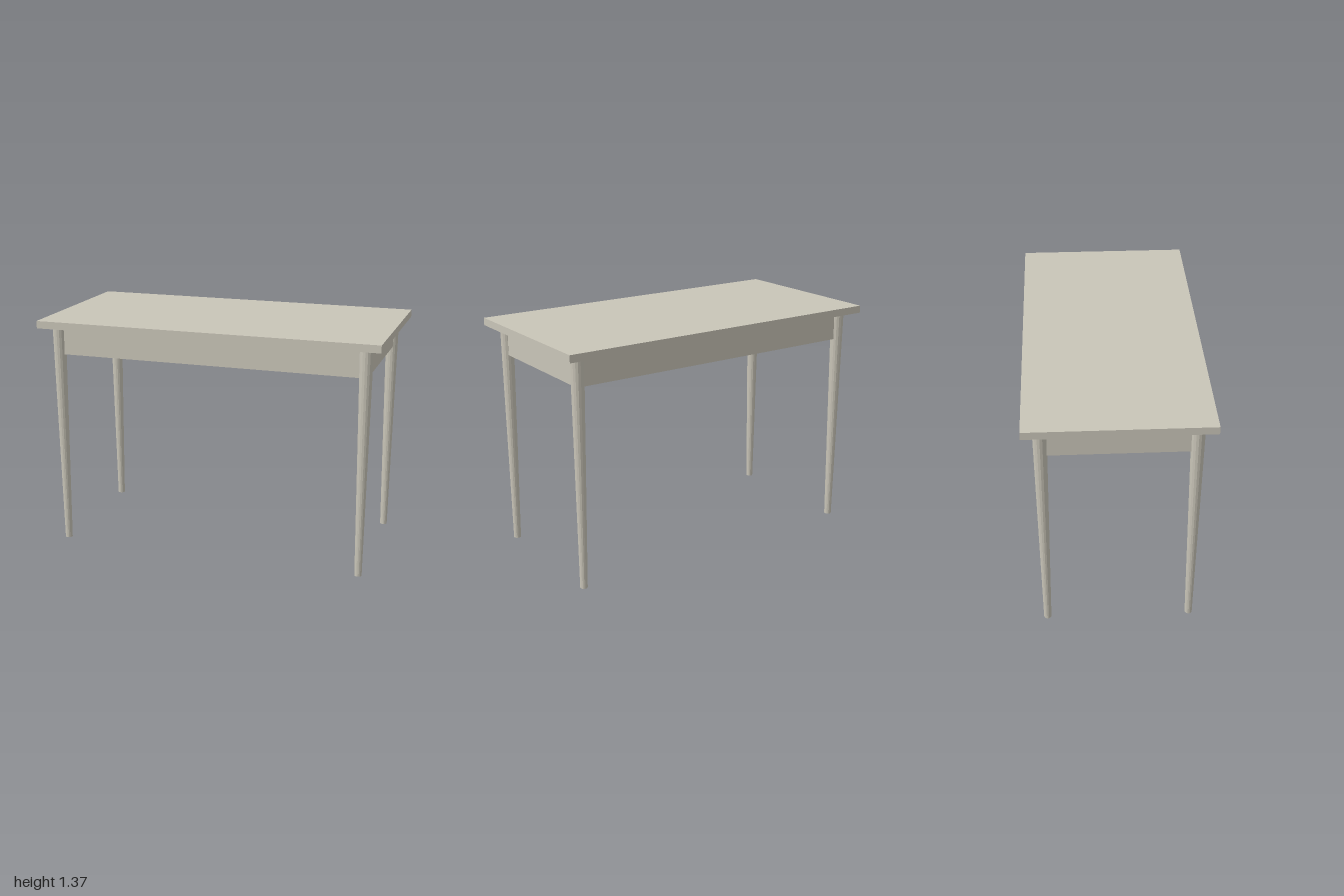
import * as THREE from 'three';

export function createModel() {
  const model = new THREE.Group();
  model.name = 'table';
  const paint = new THREE.MeshStandardMaterial({ color: 0xc9c5b8 });
  paint.name = 'warm grey paint';
  const legPaint = paint.clone();
  legPaint.name = 'warm grey leg paint';
  legPaint.flatShading = true;

  const add = (name, geometry, x, y, z, material = paint) => {
    const mesh = new THREE.Mesh(geometry, material);
    mesh.name = name;
    mesh.position.set(x, y, z);
    model.add(mesh);
  };

  const height = 1.365, topThickness = 0.043;
  const legHeight = height - topThickness;
  const legX = 0.905, legZ = 0.405;
  const apronHeight = 0.163, apronThickness = 0.025;
  const apronY = legHeight - apronHeight / 2;

  // Flat top board
  add('tableTop', new THREE.BoxGeometry(2, topThickness, 1), 0, height - topThickness / 2, 0);

  // Tapered round legs
  const leg = new THREE.CylinderGeometry(0.038, 0.021, legHeight, 16);
  for (const sx of [-1, 1]) {
    for (const sz of [-1, 1]) {
      add(`${sz > 0 ? 'front' : 'back'}${sx > 0 ? 'Left' : 'Right'}Leg`,
        leg, sx * legX, legHeight / 2, sz * legZ, legPaint);
    }
  }

  // Aprons run between the legs, on the leg centre lines
  const longApron = new THREE.BoxGeometry(2 * legX - 0.05, apronHeight, apronThickness);
  const sideApron = new THREE.BoxGeometry(apronThickness, apronHeight, 2 * legZ - 0.05);
  for (const s of [-1, 1]) {
    add(s > 0 ? 'frontApron' : 'backApron', longApron, 0, apronY, s * legZ);
    add(s > 0 ? 'leftApron' : 'rightApron', sideApron, s * legX, apronY, 0);
  }
  return model;
}
